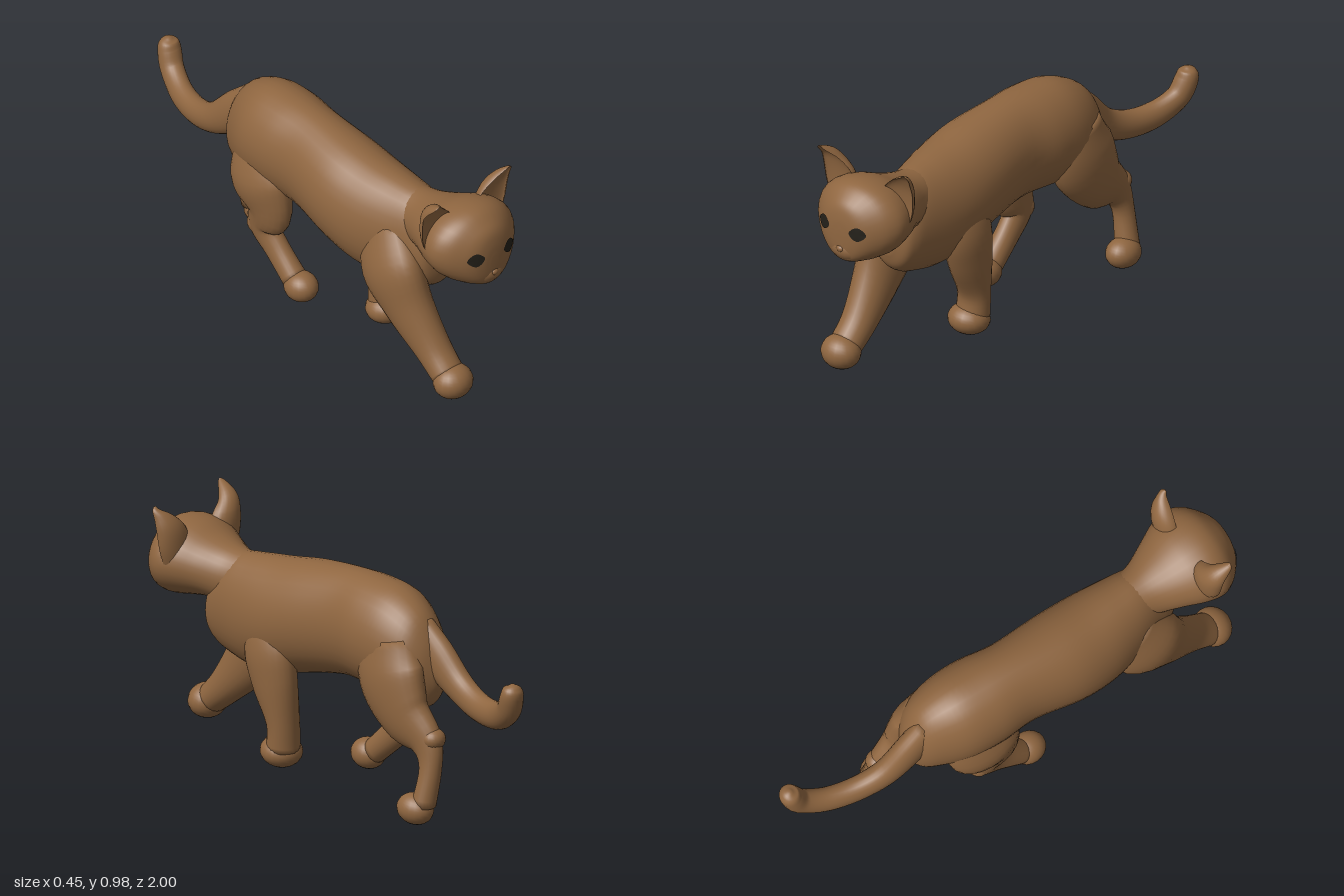
import * as THREE from 'three';

const fur = new THREE.MeshStandardMaterial({ color: 0x8f6640 });
fur.name = 'brownFur';
const dark = new THREE.MeshStandardMaterial({ color: 0x231f18 });
dark.name = 'darkEyesAndPads';

// Smooth loft through sections [x, y, z, halfWidth, halfDepth];
// upright keeps every ring vertical, otherwise rings follow the path;
// dent < 1 pulls in one side of the ring (used to hollow the ears).
function loft(name, sections, { sides = 24, steps = 5, dent = 1, upright = false } = {}) {
  const path = new THREE.CatmullRomCurve3(
    sections.map(([x, y, z]) => new THREE.Vector3(x, y, z)), false, 'catmullrom');
  const size = new THREE.CatmullRomCurve3(
    sections.map((s) => new THREE.Vector3(s[3], s[4], 0)), false, 'catmullrom');
  const rings = (sections.length - 1) * steps;
  const X = new THREE.Vector3(1, 0, 0);
  const pos = [], idx = [];
  for (let i = 0; i <= rings; i++) {
    const t = i / rings;
    const c = path.getPoint(t), r = size.getPoint(t);
    const n = upright ? new THREE.Vector3(0, 1, 0) : path.getTangent(t).cross(X).normalize();
    for (let j = 0; j < sides; j++) {
      const a = (j / sides) * Math.PI * 2;
      const s = Math.sin(a) * (Math.sin(a) < 0 ? dent : 1);
      const p = c.clone().addScaledVector(X, Math.cos(a) * r.x).addScaledVector(n, s * r.y);
      pos.push(p.x, p.y, p.z);
    }
  }
  for (let i = 0; i < rings; i++) {
    for (let j = 0; j < sides; j++) {
      const k = (j + 1) % sides;
      const a = i * sides + j, b = i * sides + k;
      idx.push(a, b, a + sides, b, b + sides, a + sides);
    }
  }
  // End caps
  const first = path.getPoint(0), last = path.getPoint(1);
  const f = pos.length / 3, l = f + 1, end = rings * sides;
  pos.push(first.x, first.y, first.z, last.x, last.y, last.z);
  for (let j = 0; j < sides; j++) {
    const k = (j + 1) % sides;
    idx.push(f, k, j, l, end + j, end + k);
  }
  const g = new THREE.BufferGeometry();
  g.setAttribute('position', new THREE.Float32BufferAttribute(pos, 3));
  g.setIndex(idx);
  g.computeVertexNormals();
  const mesh = new THREE.Mesh(g, fur);
  mesh.name = name;
  return mesh;
}

// Rounded paw with a dark pad underneath
function paw(name, [x, y, z], [rx, ry, rz], tilt) {
  const group = new THREE.Group();
  group.name = name;
  const cut = Math.PI * 0.765;
  const ball = new THREE.Mesh(new THREE.SphereGeometry(1, 20, 14, 0, Math.PI * 2, 0, cut), fur);
  ball.name = 'pawBall';
  const pad = new THREE.Mesh(
    new THREE.SphereGeometry(1, 20, 4, 0, Math.PI * 2, cut, Math.PI - cut), dark);
  pad.name = 'pawPad';
  group.add(ball, pad);
  group.scale.set(rx, ry, rz);
  group.position.set(x, y, z);
  group.rotation.x = tilt;
  return group;
}

// Almond eye plate laid onto the face
function eye(name, head, cx, cy) {
  const g = new THREE.CircleGeometry(1, 24);
  const p = g.attributes.position;
  const ray = new THREE.Raycaster();
  const back = new THREE.Vector3(0, 0, -1);
  for (let i = 0; i < p.count; i++) {
    const u = p.getX(i), v = p.getY(i);
    const x = cx + u * 0.034;
    const y = cy + v * 0.028 * (1 - 0.4 * u * u);
    ray.set(new THREE.Vector3(x, y, 2), back);
    const hit = ray.intersectObject(head)[0];
    p.setXYZ(i, x, y, hit.point.z + 0.004);
  }
  g.computeVertexNormals();
  const mesh = new THREE.Mesh(g, dark);
  mesh.name = name;
  return mesh;
}

function ellipsoid(name, [x, y, z], [rx, ry, rz]) {
  const mesh = new THREE.Mesh(new THREE.SphereGeometry(1, 20, 14), fur);
  mesh.name = name;
  mesh.position.set(x, y, z);
  mesh.scale.set(rx, ry, rz);
  return mesh;
}

export function createModel() {
  const cat = new THREE.Group();
  cat.name = 'walkingCat';

  // Torso, from rump to chest
  cat.add(loft('body', [
    [0.02, 0.56, -0.485, 0.02, 0.05],
    [0.02, 0.575, -0.45, 0.085, 0.14],
    [0.02, 0.605, -0.39, 0.13, 0.195],
    [0.005, 0.64, -0.28, 0.168, 0.217],
    [-0.005, 0.655, -0.15, 0.175, 0.217],
    [-0.015, 0.655, 0, 0.16, 0.215],
    [-0.025, 0.625, 0.2, 0.18, 0.225],
    [-0.02, 0.595, 0.35, 0.177, 0.232],
    [-0.01, 0.585, 0.48, 0.155, 0.228],
    [0, 0.59, 0.6, 0.125, 0.205],
    [0, 0.575, 0.66, 0.11, 0.165],
    [0, 0.555, 0.695, 0.085, 0.11],
    [0, 0.545, 0.712, 0.03, 0.045],
  ], { sides: 32, upright: true }));

  // Head, from neck to face
  const head = loft('head', [
    [0, 0.69, 0.52, 0.09, 0.11],
    [0, 0.695, 0.61, 0.11, 0.115],
    [0, 0.715, 0.7, 0.15, 0.122],
    [0, 0.728, 0.78, 0.187, 0.143],
    [0, 0.728, 0.85, 0.2, 0.155],
    [0, 0.722, 0.905, 0.178, 0.152],
    [0, 0.708, 0.95, 0.134, 0.134],
    [0, 0.698, 0.976, 0.094, 0.112],
    [0, 0.69, 0.988, 0.055, 0.075],
    [0, 0.685, 0.992, 0.018, 0.03],
  ], { sides: 32, upright: true });
  cat.add(head);
  cat.add(ellipsoid('muzzle', [0, 0.628, 0.936], [0.08, 0.054, 0.06]));
  cat.add(ellipsoid('nose', [0, 0.638, 0.986], [0.018, 0.014, 0.014]));
  cat.add(eye('leftEye', head, 0.079, 0.721), eye('rightEye', head, -0.086, 0.725));

  // Hollow ears
  const ears = [['leftEar', 1, 0.2, 0.962, 0.855], ['rightEar', -1, -0.188, 0.975, 0.885]];
  for (const [name, s, tipX, tipY, tipZ] of ears) {
    cat.add(loft(name, [
      [s * 0.115, 0.71, 0.81, 0.07, 0.04],
      [s * 0.132, 0.79, 0.814, 0.08, 0.05],
      [s * 0.15, 0.865, 0.822, 0.07, 0.052],
      [s * 0.174, 0.915, 0.835, 0.045, 0.038],
      [tipX, tipY - 0.015, tipZ - 0.008, 0.018, 0.015],
      [tipX, tipY, tipZ, 0.005, 0.005],
    ], { dent: -0.35 }));
  }

  // Legs in mid stride
  cat.add(loft('frontRightLeg', [
    [-0.09, 0.64, 0.46, 0.06, 0.11],
    [-0.118, 0.48, 0.54, 0.092, 0.155],
    [-0.112, 0.335, 0.635, 0.083, 0.115],
    [-0.1, 0.2, 0.752, 0.07, 0.075],
    [-0.1, 0.12, 0.84, 0.067, 0.06],
  ]));
  cat.add(paw('frontRightPaw', [-0.1, 0.108, 0.863], [0.081, 0.069, 0.074], -0.1));

  cat.add(loft('frontLeftLeg', [
    [0.06, 0.66, 0.38, 0.045, 0.07],
    [0.092, 0.5, 0.35, 0.07, 0.115],
    [0.09, 0.36, 0.322, 0.074, 0.103],
    [0.08, 0.2, 0.287, 0.068, 0.062],
    [0.076, 0.09, 0.29, 0.069, 0.064],
  ]));
  cat.add(paw('frontLeftPaw', [0.07, 0.08, 0.305], [0.084, 0.062, 0.082], -0.15));

  cat.add(loft('hindLeftLeg', [
    [0.085, 0.68, -0.29, 0.08, 0.13],
    [0.108, 0.54, -0.32, 0.086, 0.16],
    [0.118, 0.41, -0.4, 0.071, 0.125],
    [0.112, 0.325, -0.505, 0.053, 0.077],
    [0.125, 0.23, -0.543, 0.043, 0.047],
    [0.155, 0.08, -0.535, 0.05, 0.047],
  ]));
  cat.add(ellipsoid('hindLeftHeel', [0.11, 0.34, -0.545], [0.048, 0.042, 0.045]));
  cat.add(paw('hindLeftPaw', [0.165, 0.063, -0.5], [0.064, 0.061, 0.078], -0.1));

  cat.add(loft('hindRightLeg', [
    [-0.055, 0.68, -0.25, 0.07, 0.12],
    [-0.11, 0.51, -0.205, 0.083, 0.155],
    [-0.11, 0.385, -0.165, 0.065, 0.115],
    [-0.105, 0.285, -0.19, 0.05, 0.074],
    [-0.1, 0.21, -0.13, 0.045, 0.057],
    [-0.1, 0.11, -0.02, 0.05, 0.05],
  ]));
  cat.add(ellipsoid('hindRightHeel', [-0.105, 0.285, -0.225], [0.046, 0.05, 0.045]));
  cat.add(paw('hindRightPaw', [-0.1, 0.1, 0.008], [0.064, 0.061, 0.072], -0.1));

  // Tail with an upturned tip
  cat.add(loft('tail', [
    [0.005, 0.72, -0.37, 0.05, 0.07],
    [0, 0.625, -0.46, 0.054, 0.082],
    [0, 0.53, -0.58, 0.05, 0.064],
    [0.02, 0.485, -0.7, 0.048, 0.058],
    [0.05, 0.487, -0.82, 0.047, 0.056],
    [0.085, 0.535, -0.915, 0.047, 0.05],
    [0.1, 0.6, -0.95, 0.048, 0.045],
    [0.103, 0.64, -0.957, 0.038, 0.036],
    [0.103, 0.658, -0.957, 0.008, 0.008],
  ]));

  return cat;
}
